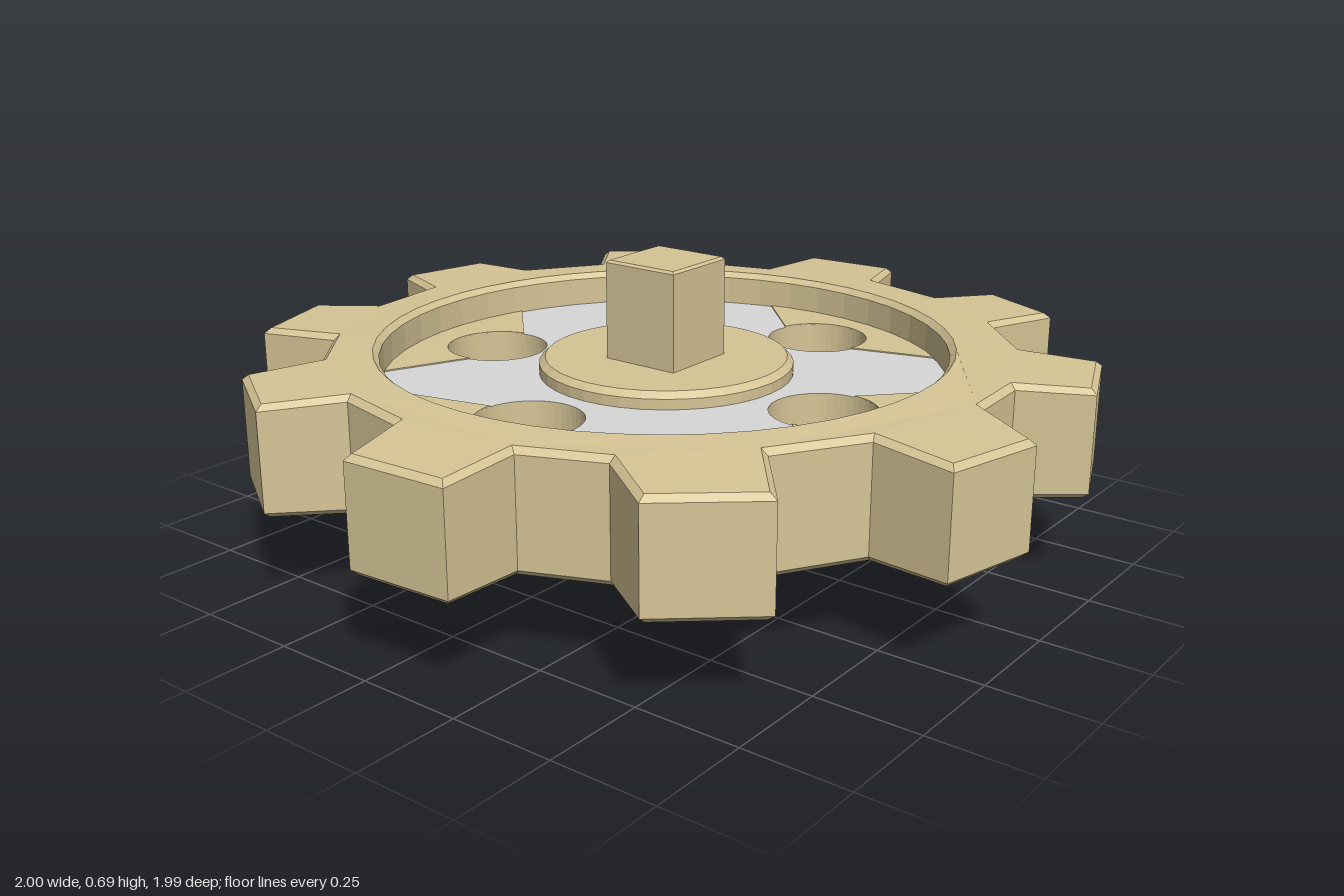
import * as THREE from 'three';

// Four corners per tooth as x, z: root, tip, tip, root
const TEETH = [
  [-0.225, -0.75, -0.225, -0.98, 0.03, -1.0, 0.085, -0.82],
  [0.30, -0.765, 0.39, -0.92, 0.60, -0.825, 0.54, -0.625],
  [0.695, -0.465, 0.875, -0.515, 0.96, -0.295, 0.81, -0.20],
  [0.82, -0.03, 0.997, 0.08, 0.94, 0.32, 0.74, 0.285],
  [0.62, 0.48, 0.755, 0.645, 0.56, 0.81, 0.40, 0.70],
  [0.22, 0.775, 0.225, 0.975, -0.035, 0.99, -0.09, 0.80],
  [-0.285, 0.755, -0.405, 0.905, -0.615, 0.775, -0.545, 0.605],
  [-0.67, 0.455, -0.877, 0.50, -0.957, 0.265, -0.80, 0.19],
  [-0.825, -0.02, -1.0, -0.10, -0.945, -0.34, -0.755, -0.33],
  [-0.635, -0.50, -0.755, -0.67, -0.56, -0.82, -0.43, -0.695],
];
// Web holes: x, z, half angle of the painted fan outside each
const HOLES = [[0.12, -0.475, 0.48], [0.45, 0.01, 0.45], [-0.035, 0.455, 0.65], [-0.48, 0.085, 0.48]];
const HOLE_R = 0.125, RIM_R = 0.675, CX = -0.01;

export function createModel() {
  const group = new THREE.Group();
  const tan = new THREE.MeshStandardMaterial({ color: 0xd6c596, flatShading: true });
  tan.name = 'tan wood';
  const grey = new THREE.MeshStandardMaterial({ color: 0xd8d8d8, flatShading: true });
  grey.name = 'light grey';

  const add = (name, geometry, material) => {
    const mesh = new THREE.Mesh(geometry, material);
    mesh.name = name;
    group.add(mesh);
    return mesh;
  };
  // Extrude a plan shape (x, -z) upward from y0 to y1
  const slab = (shape, y0, y1, bevel = 0) => {
    const g = new THREE.ExtrudeGeometry(shape, {
      depth: y1 - y0 - 2 * bevel, curveSegments: 24, bevelEnabled: bevel > 0,
      bevelThickness: bevel, bevelSize: bevel, bevelOffset: -bevel, bevelSegments: 1,
    });
    g.rotateX(-Math.PI / 2);
    g.translate(0, y0 + bevel, 0);
    return g;
  };
  const circle = (x, z, r) => new THREE.Path().absarc(x, -z, r, 0, Math.PI * 2, true);

  // Toothed rim, thinning slightly towards the tooth tips
  const outline = [];
  TEETH.forEach((t) => {
    for (let i = 0; i < 8; i += 2) outline.push(new THREE.Vector2(t[i], -t[i + 1]));
  });
  const rimShape = new THREE.Shape(outline.reverse());
  rimShape.holes.push(circle(CX, 0, RIM_R));
  const rim = slab(rimShape, 0.205, 0.49, 0.014);
  const pos = rim.attributes.position, mid = 0.3475;
  for (let i = 0; i < pos.count; i++) {
    const r = Math.hypot(pos.getX(i), pos.getZ(i));
    const k = 1 - 0.1 * THREE.MathUtils.clamp((r - 0.7) / 0.3, 0, 1);
    pos.setY(i, mid + (pos.getY(i) - mid) * k);
  }
  rim.computeVertexNormals();
  add('toothedRim', rim, tan);

  // Recessed web with four round holes; the hole walls are tan
  const webShape = new THREE.Shape().absarc(CX, 0, RIM_R + 0.012, 0, Math.PI * 2, false);
  HOLES.forEach(([x, z]) => webShape.holes.push(circle(x, z, HOLE_R)));
  add('web', slab(webShape, 0.225, 0.405), [grey, tan]);

  // Tan fans between each hole and the rim, on both faces
  HOLES.forEach(([x, z, half], i) => {
    const a = Math.atan2(-z, x - CX);
    const fan = new THREE.Shape();
    fan.absarc(CX, 0, RIM_R + 0.005, a - half, a + half, false);
    fan.absarc(x, -z, HOLE_R, a + Math.PI / 2, a - Math.PI / 2, true);
    fan.closePath();
    add(`upperFan${i + 1}`, slab(fan, 0.403, 0.408), tan);
    add(`lowerFan${i + 1}`, slab(fan, 0.222, 0.227), tan);
  });

  // Hub disc with chamfered edges
  const profile = [[0, 0.18], [0.292, 0.18], [0.307, 0.195], [0.307, 0.43], [0.292, 0.445], [0, 0.445]];
  const hub = add('hub', new THREE.LatheGeometry(profile.map((p) => new THREE.Vector2(...p)), 40), tan);
  hub.position.set(-0.02, 0, -0.02);

  // Square shaft through the hub
  const s = 0.1;
  const square = new THREE.Shape([[-s, -s], [s, -s], [s, s], [-s, s]].map((p) => new THREE.Vector2(...p)));
  const shaft = add('shaft', slab(square, 0, 0.685, 0.006), tan);
  shaft.position.set(-0.01, 0, -0.005);

  return group;
}
